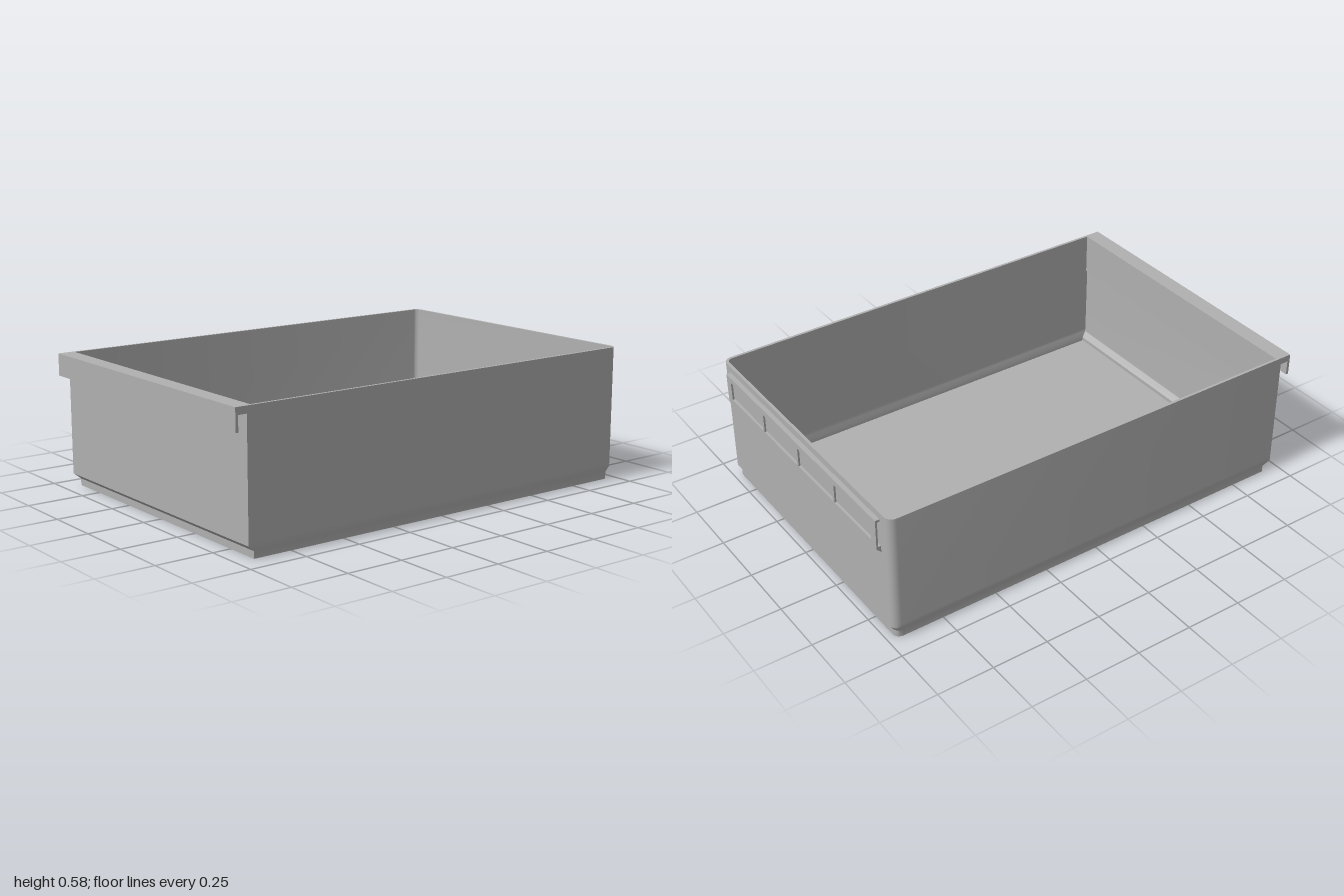
import * as THREE from 'three';
import { toCreasedNormals } from 'three/addons/utils/BufferGeometryUtils.js';

const plastic = new THREE.MeshStandardMaterial({ color: 0xb0b0b0 });
plastic.name = 'greyPlastic';

// plan outline: square front corners, rounded back corners
function outline(hw, zBack, zFront, r) {
  const pts = [[hw, zFront]];
  const n = 6;
  for (let i = 0; i <= n; i++) {
    const a = (i / n) * Math.PI / 2;
    pts.push([hw - r + r * Math.cos(a), zBack + r - r * Math.sin(a)]);
  }
  for (let i = 0; i <= n; i++) {
    const a = (1 + i / n) * Math.PI / 2;
    pts.push([-hw + r + r * Math.cos(a), zBack + r - r * Math.sin(a)]);
  }
  pts.push([-hw, zFront]);
  return pts;
}

// open tray lofted up the outside, over the rim and down the inside
function trayGeometry() {
  // y, half width, back z, front z, corner radius
  const levels = [
    [0, 0.655, -0.965, 0.92, 0.03],
    [0.03, 0.655, -0.965, 0.92, 0.03],
    [0.055, 0.665, -0.98, 0.95, 0.035],
    [0.07, 0.665, -0.98, 0.95, 0.035],
    [0.585, 0.665, -0.98, 0.95, 0.035],
    [0.585, 0.653, -0.967, 0.935, 0.023],
    [0.075, 0.65, -0.965, 0.933, 0.023],
    [0.06, 0.65, -0.964, 0.932, 0.023],
    [0.035, 0.642, -0.952, 0.912, 0.02],
    [0.018, 0.642, -0.952, 0.912, 0.02],
  ];
  const pos = [], idx = [];
  let n = 0;
  for (const [y, ...plan] of levels) {
    const pts = outline(...plan);
    n = pts.length;
    for (const [x, z] of pts) pos.push(x, y, z);
  }
  for (let k = 0; k < levels.length - 1; k++) {
    for (let i = 0; i < n; i++) {
      const j = (i + 1) % n;
      const a = k * n + i, b = k * n + j, c = b + n, d = a + n;
      idx.push(a, b, c, a, c, d);
    }
  }
  // underside and inner floor
  const last = (levels.length - 1) * n;
  const under = pos.length / 3;
  pos.push(0, 0, 0, 0, levels[levels.length - 1][0], 0);
  for (let i = 0; i < n; i++) {
    const j = (i + 1) % n;
    idx.push(under, j, i, under + 1, last + i, last + j);
  }
  const geo = new THREE.BufferGeometry();
  geo.setAttribute('position', new THREE.Float32BufferAttribute(pos, 3));
  geo.setIndex(idx);
  return toCreasedNormals(geo, 0.5);
}

export function createModel() {
  const model = new THREE.Group();
  model.name = 'storageTray';

  const add = (parent, name, geo) => {
    const mesh = new THREE.Mesh(geo, plastic);
    mesh.name = name;
    parent.add(mesh);
    return mesh;
  };
  // extrude a (z, y) profile along x, centred
  const alongX = (points, width) => {
    const shape = new THREE.Shape(points.map(([z, y]) => new THREE.Vector2(-z, y)));
    const geo = new THREE.ExtrudeGeometry(shape, { depth: width, bevelEnabled: false });
    return geo.translate(0, 0, -width / 2).rotateY(Math.PI / 2);
  };

  add(model, 'trayBody', trayGeometry());

  // thicker upper band inside the front wall
  const band = add(model, 'frontWallBand', new THREE.BoxGeometry(1.306, 0.185, 0.008));
  band.position.set(0, 0.4925, 0.932);

  // hooked front handle
  add(model, 'frontHandleLip', alongX([
    [0.95, 0.585], [1, 0.585], [1, 0.49], [0.988, 0.49], [0.988, 0.555], [0.95, 0.555],
  ], 1.33));

  // label holder on the back, open at both ends
  const holder = new THREE.Group();
  holder.name = 'labelHolder';
  model.add(holder);

  const frame = new THREE.Shape();
  frame.moveTo(-0.6, 0.42).lineTo(0.6, 0.42).lineTo(0.6, 0.555).lineTo(-0.6, 0.555).closePath();
  const pitch = 0.285, half = 0.136;
  for (let i = 0; i < 4; i++) {
    const cx = (i - 1.5) * pitch;
    const hole = new THREE.Path();
    hole.moveTo(cx - half, 0.445).lineTo(cx - half, 0.53)
      .lineTo(cx + half, 0.53).lineTo(cx + half, 0.445).closePath();
    frame.holes.push(hole);
  }
  const plate = add(holder, 'labelFrame',
    new THREE.ExtrudeGeometry(frame, { depth: 0.008, bevelEnabled: false }));
  plate.position.z = -1;

  add(holder, 'labelTopRail', alongX([
    [-0.979, 0.555], [-0.979, 0.545], [-0.992, 0.545], [-0.992, 0.555],
  ], 1.2));
  add(holder, 'labelBottomRail', alongX([
    [-0.979, 0.43], [-0.979, 0.4], [-1, 0.42], [-0.992, 0.42], [-0.992, 0.43],
  ], 1.2));

  return model;
}
